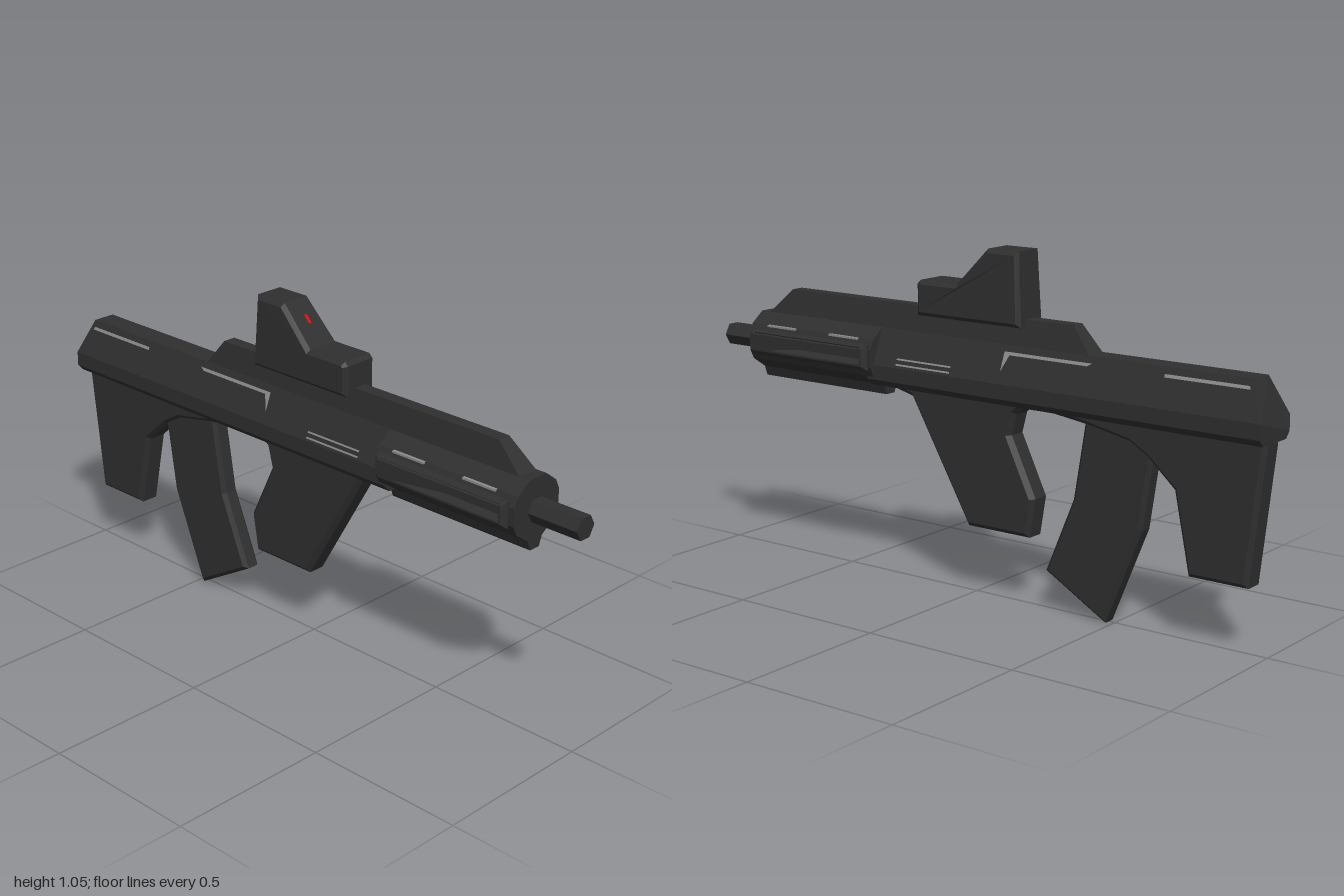
import * as THREE from 'three';

const dark = new THREE.MeshStandardMaterial({ name: 'charcoal', color: 0x2f2f2f });
const grey = new THREE.MeshStandardMaterial({ name: 'lightGrey', color: 0x8c8c8c, side: THREE.DoubleSide });
const red = new THREE.MeshStandardMaterial({ name: 'red', color: 0xd01414, side: THREE.DoubleSide });

const shapeOf = (pts) => new THREE.Shape(pts.map(([x, y]) => new THREE.Vector2(x, y)));

// Side profile (x, y) given thickness across z, with chamfered edges inside the outline
function slab(pts, half, bevel) {
  return new THREE.ExtrudeGeometry(shapeOf(pts), {
    depth: 2 * (half - bevel), bevelEnabled: bevel > 0, bevelThickness: bevel,
    bevelSize: bevel, bevelOffset: -bevel, bevelSegments: 1,
  }).translate(0, 0, -(half - bevel));
}

// Mirrored half section (z, y), listed top to bottom, run along x
function prism(half, x0, x1) {
  const pts = [...half, ...half.map(([z, y]) => [-z, y]).reverse()];
  return new THREE.ExtrudeGeometry(shapeOf(pts), { depth: x1 - x0, bevelEnabled: false })
    .rotateY(Math.PI / 2).translate(x0, 0, 0);
}

// Move every vertex by a rule
function warp(geo, rule) {
  const p = geo.attributes.position;
  const v = new THREE.Vector3();
  for (let i = 0; i < p.count; i++) {
    v.fromBufferAttribute(p, i);
    rule(v);
    p.setXYZ(i, v.x, v.y, v.z);
  }
  geo.computeVertexNormals();
  return geo;
}

export function createModel() {
  const model = new THREE.Group();
  model.name = 'model';
  const add = (name, geo, mat = dark) => {
    const mesh = new THREE.Mesh(geo, mat);
    mesh.name = name;
    model.add(mesh);
    return mesh;
  };

  // Long body with sloped sides and a slanted rear end
  const body = prism([[0.036, 0.785], [0.08, 0.675], [0.08, 0.63], [0.062, 0.61]], -1, 0.36);
  add('body', warp(body, (v) => { if (v.x < -0.9 && v.y > 0.7) v.x = -0.955; }));

  // Top rail, slanted at both ends and narrower at the top
  const rail = slab([[-0.425, 0.78], [-0.36, 0.863], [0.715, 0.863], [0.805, 0.78]], 0.036, 0);
  add('topRail', warp(rail, (v) => { if (v.y > 0.82) v.z *= 0.58; }));

  // Faceted fore-end with a raised frame on each side
  add('foreEnd', prism([[0.036, 0.785], [0.08, 0.752], [0.095, 0.722], [0.095, 0.668],
    [0.08, 0.638], [0.03, 0.605], [0.019, 0.574]], 0.335, 0.835));
  const frame = shapeOf([[0.345, 0.658], [0.815, 0.658], [0.815, 0.737], [0.345, 0.737]]);
  frame.holes.push(new THREE.Path([[0.375, 0.69], [0.375, 0.718], [0.782, 0.718], [0.782, 0.69]]
    .map(([x, y]) => new THREE.Vector2(x, y))));
  for (const side of [1, -1]) {
    const geo = new THREE.ExtrudeGeometry(frame, {
      depth: 0.015, bevelEnabled: true, bevelThickness: 0.016, bevelSize: 0.013,
      bevelOffset: -0.013, bevelSegments: 1,
    }).translate(0, 0, 0.082);
    if (side < 0) geo.rotateY(Math.PI).translate(1.16, 0, 0);
    add('foreEndFrame', geo);
    // Short pale slots along the upper edge
    for (const x of [0.45, 0.705]) {
      add('foreEndSlot', new THREE.BoxGeometry(0.115, 0.006, 0.018).translate(x, 0.75, side * 0.08), grey);
    }
  }

  // Six-sided barrel
  add('barrel', new THREE.CylinderGeometry(0.037, 0.037, 0.2, 6).toNonIndexed()
    .rotateZ(-Math.PI / 2).rotateX(Math.PI / 2).rotateX(Math.PI / 2).translate(0.9, 0.69, 0));
  model.children.at(-1).geometry.computeVertexNormals();

  // Rear stock with its curved underside
  add('stock', slab([[-0.995, 0.64], [-0.995, 0.6], [-0.95, 0.2], [-0.76, 0.2], [-0.71, 0.44],
    [-0.62, 0.52], [-0.56, 0.555], [-0.4, 0.587], [-0.2, 0.613], [-0.18, 0.64]], 0.04, 0.013));

  // Curved magazine
  add('magazine', slab([[-0.645, 0.6], [-0.6, 0.3], [-0.48, 0.005], [-0.27, 0.125],
    [-0.365, 0.355], [-0.405, 0.6]], 0.03, 0.012));

  // Slanted front grip
  add('grip', slab([[-0.205, 0.64], [-0.205, 0.61], [-0.165, 0.58], [-0.148, 0.515], [-0.235, 0.335],
    [-0.215, 0.215], [0.01, 0.215], [0.225, 0.585], [0.34, 0.613], [0.34, 0.64]], 0.04, 0.014));

  // Sight housing, narrowing toward the top
  const sight = slab([[-0.197, 0.84], [-0.185, 1.06], [-0.075, 1.06], [0.035, 0.947],
    [0.172, 0.947], [0.184, 0.935], [0.184, 0.84]], 0.062, 0.012);
  add('sight', warp(sight, (v) => { if (v.y > 0.95) v.z *= 1 - (v.y - 0.95) * 1.0; }));

  // Red mark on the sloped face of the sight
  add('sightMark', new THREE.BoxGeometry(0.004, 0.03, 0.009)
    .rotateZ(0.77).translate(-0.026, 1.012, 0), red);

  // Pale stripes laid on the sloped sides of the body
  const stripes = [
    [[-0.95, 0.757], [-0.68, 0.757], [-0.68, 0.766], [-0.945, 0.766]],
    [[-0.44, 0.766], [-0.425, 0.757], [-0.155, 0.757], [-0.135, 0.71], [-0.135, 0.766]],
    [[0.045, 0.699], [0.25, 0.699], [0.25, 0.704], [0.045, 0.704]],
    [[0.045, 0.683], [0.25, 0.683], [0.25, 0.688], [0.045, 0.688]],
  ];
  for (const side of [1, -1]) {
    for (const pts of stripes) {
      const geo = new THREE.ShapeGeometry(shapeOf(pts));
      add('bodyStripe', warp(geo, (v) => { v.z = side * (0.038 + (0.785 - v.y) * 0.4); }), grey);
    }
  }
  return model;
}
